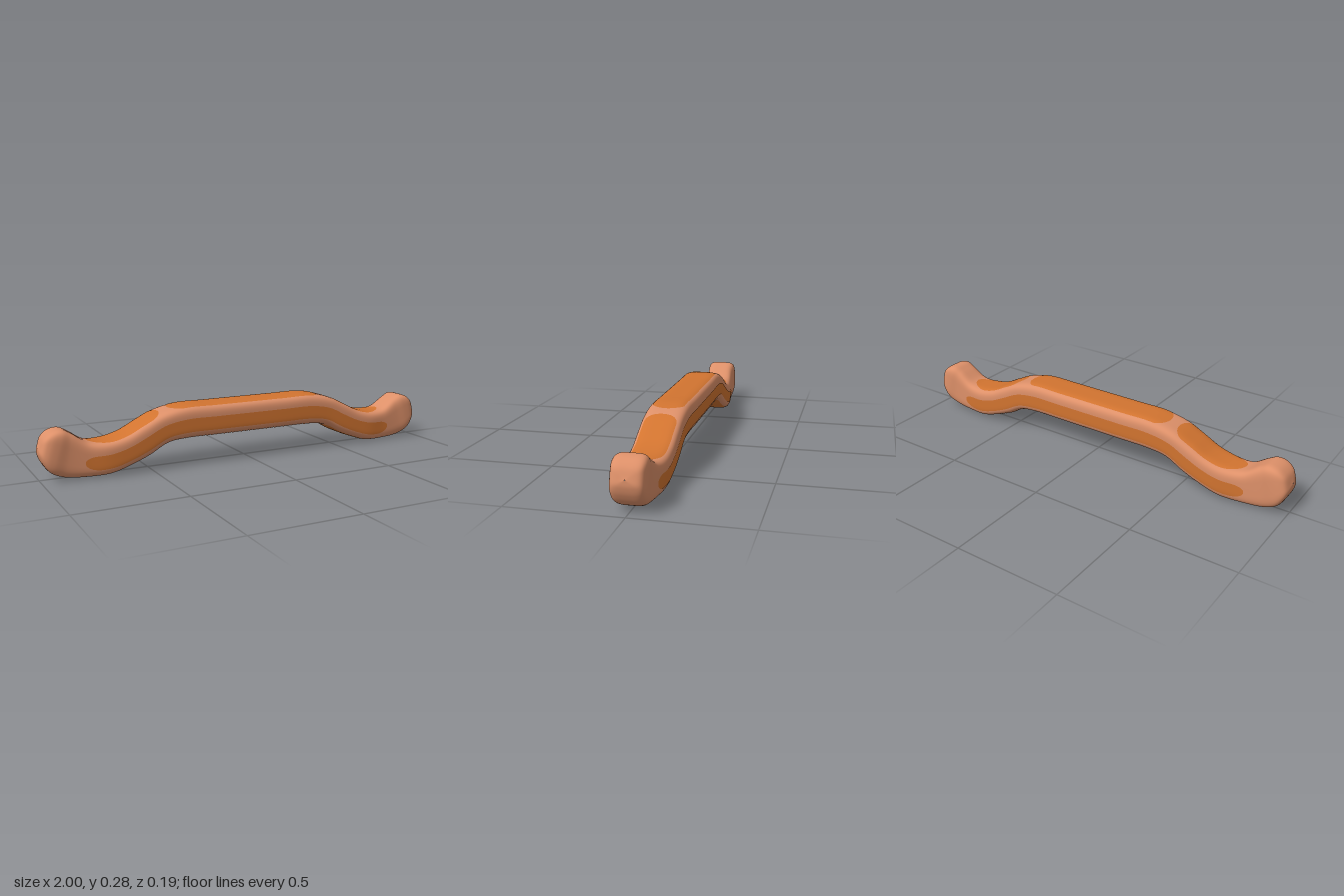
import * as THREE from 'three';

const N = 4.5; // squareness of the rounded cross-section

// Stations along the left half: top x, top y, bottom x, bottom y, half depth
const half = [
  [0, 0.28, 0, 0.13, 0.094], [0.18, 0.28, 0.18, 0.13, 0.094], [0.34, 0.279, 0.325, 0.129, 0.093],
  [0.45, 0.256, 0.42, 0.117, 0.092], [0.54, 0.215, 0.51, 0.07, 0.092], [0.62, 0.176, 0.6, 0.034, 0.091],
  [0.71, 0.156, 0.69, 0.007, 0.088], [0.79, 0.162, 0.8, 0.003, 0.077], [0.86, 0.206, 0.9, 0.013, 0.072],
  [0.9, 0.225, 0.957, 0.04, 0.075], [0.942, 0.219, 0.985, 0.08, 0.07], [0.975, 0.195, 0.997, 0.115, 0.054],
  [0.997, 0.15, 0.999, 0.148, 0.001],
];
const stations = [...half.slice(1).reverse().map(([a, b, c, d, w]) => [-a, b, -c, d, w]), ...half];
const topCurve = new THREE.CatmullRomCurve3(stations.map(([x, y, , , w]) => new THREE.Vector3(x, y, w)));
const bottomCurve = new THREE.CatmullRomCurve3(stations.map(([, , x, y, w]) => new THREE.Vector3(x, y, w)));

// Point of the bar at parameter t; up and side run from -1 to 1 in the section
function barPoint(t, up, side) {
  const a = topCurve.getPoint(t), b = bottomCurve.getPoint(t);
  const p = a.clone().add(b).multiplyScalar(0.5);
  const h = a.sub(b).multiplyScalar(0.5);
  return new THREE.Vector3(p.x + h.x * up, p.y + h.y * up, p.z * side);
}

// Curve parameter at which the centre line reaches x
function paramAt(x) {
  let lo = 0, hi = 1;
  for (let i = 0; i < 30; i++) {
    const mid = (lo + hi) / 2;
    if (barPoint(mid, 0, 0).x < x) lo = mid; else hi = mid;
  }
  return lo;
}

// Smooth surface from a grid of points, optionally joined around
function gridGeometry(rows, cols, closed, pointAt) {
  const positions = [], index = [];
  const stride = closed ? cols : cols + 1;
  for (let i = 0; i <= rows; i++) {
    for (let j = 0; j < stride; j++) positions.push(...pointAt(i / rows, j / cols).toArray());
  }
  for (let i = 0; i < rows; i++) {
    for (let j = 0; j < cols; j++) {
      const k = (j + 1) % stride;
      const a = i * stride + j, b = a + stride, c = (i + 1) * stride + k, d = i * stride + k;
      index.push(a, b, c, a, c, d);
    }
  }
  const geometry = new THREE.BufferGeometry();
  geometry.setAttribute('position', new THREE.Float32BufferAttribute(positions, 3));
  geometry.setIndex(index);
  geometry.computeVertexNormals();
  return geometry;
}

// Painted panel on one face (0 front, 1 top, 2 back, 3 bottom), with rounded ends
function panelGeometry(face, x0, x1, centre, width, round0, round1) {
  const lift = 1.018;
  const angle = face * Math.PI / 2, c = Math.round(Math.cos(angle)), s = Math.round(Math.sin(angle));
  return gridGeometry(120, 16, false, (f, g) => {
    // ease the samples towards the ends so the rounding stays smooth
    const x = x0 + (x1 - x0) * (1 - Math.cos(Math.PI * f)) / 2;
    const d = Math.max(0, 1 - (x - x0) / round0, 1 - (x1 - x) / round1);
    const u = centre + (2 * g - 1) * width * Math.sqrt(Math.max(0, 1 - d * d));
    const out = Math.pow(1 - Math.pow(Math.abs(u), N), 1 / N) * lift;
    return barPoint(paramAt(x), s * out + c * u, c * out - s * u);
  });
}

export function createModel() {
  const group = new THREE.Group();
  group.name = 'curvedHandle';
  const base = new THREE.MeshStandardMaterial({ color: 0xdd9069 });
  base.name = 'light copper';
  const panel = new THREE.MeshStandardMaterial({ color: 0xd27430 });
  panel.name = 'orange panel';
  const add = (name, geometry, material) => {
    const mesh = new THREE.Mesh(geometry, material);
    mesh.name = name;
    group.add(mesh);
  };

  // Bar with raised middle and knobbed ends
  const bend = (v) => Math.sign(v) * Math.pow(Math.abs(v), 2 / N);
  add('bar', gridGeometry(192, 64, true, (f, g) => {
    const a = g * Math.PI * 2;
    return barPoint(f, bend(Math.sin(a)), bend(Math.cos(a)));
  }), base);

  // Long panels on the front and back
  add('frontPanel', panelGeometry(0, -0.81, 0.81, -0.14, 0.42, 0.07, 0.07), panel);
  add('backPanel', panelGeometry(2, -0.81, 0.81, 0.14, 0.42, 0.07, 0.07), panel);

  // Three panels each on the top and underside
  for (const [face, name] of [[1, 'top'], [3, 'bottom']]) {
    add(name + 'MiddlePanel', panelGeometry(face, -0.385, 0.385, 0, 0.78, 0.05, 0.05), panel);
    add(name + 'LeftPanel', panelGeometry(face, 0.43, 0.79, 0, 0.78, 0.05, 0.14), panel);
    add(name + 'RightPanel', panelGeometry(face, -0.79, -0.43, 0, 0.78, 0.14, 0.05), panel);
  }
  return group;
}
